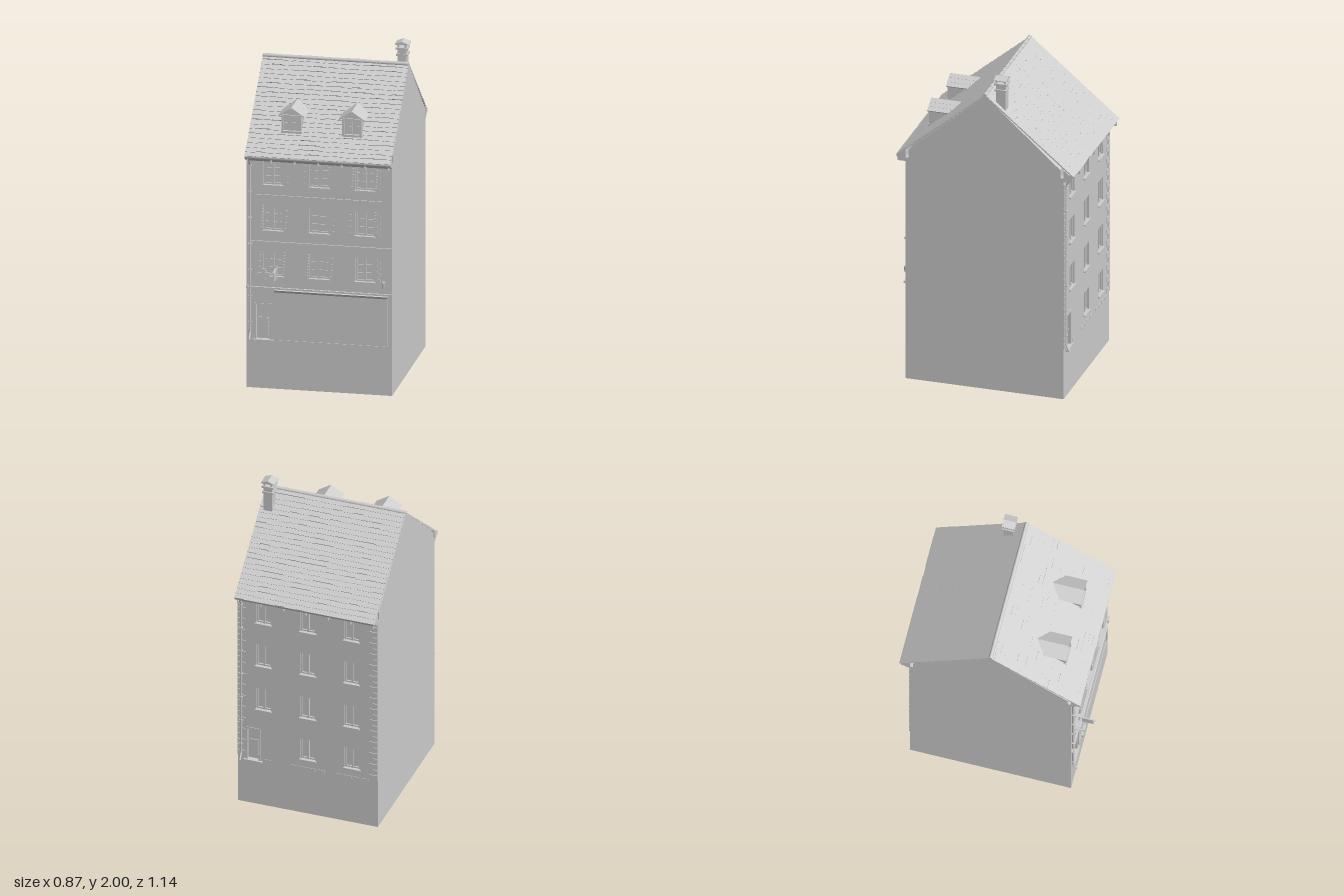
import * as THREE from 'three';
import { mergeGeometries } from 'three/addons/utils/BufferGeometryUtils.js';

const stone = new THREE.MeshStandardMaterial({ color: 0xcccccc });
stone.name = 'stoneGrey';

const W = 0.435, FRONT = 0.468, BACK = -0.503, RECESS = 0.02;
const RIDGE = { y: 1.885, z: -0.022 };

// Deterministic jitter in 0..1
const jitter = (i, j) => { const s = Math.sin(i * 12.99 + j * 78.23) * 4375.85; return s - Math.floor(s); };

const part = (name, geo, parent) => {
  const m = new THREE.Mesh(geo, stone);
  m.name = name;
  parent.add(m);
  return m;
};

// Box given by its x, y and z ranges
const box = (x0, x1, y0, y1, z0, z1) =>
  new THREE.BoxGeometry(x1 - x0, y1 - y0, z1 - z0).translate((x0 + x1) / 2, (y0 + y1) / 2, (z0 + z1) / 2);

// Polygon in (z, y) extruded along x
function slab(points, x0, x1) {
  const s = new THREE.Shape(points.map(([z, y]) => new THREE.Vector2(-z, y)));
  return new THREE.ExtrudeGeometry(s, { depth: x1 - x0, bevelEnabled: false }).rotateY(Math.PI / 2).translate(x0, 0, 0);
}

// Wall plate with openings [x0, x1, y0, y1]; outer face at local z = 0
function wall(openings, parent) {
  const s = new THREE.Shape([[-W, 0], [W, 0], [W, 1.42], [-W, 1.42]].map(p => new THREE.Vector2(...p)));
  for (const [x0, x1, y0, y1] of openings)
    s.holes.push(new THREE.Path([[x0, y0], [x0, y1], [x1, y1], [x1, y0]].map(p => new THREE.Vector2(...p))));
  part('wall', new THREE.ExtrudeGeometry(s, { depth: RECESS, bevelEnabled: false }).translate(0, 0, -RECESS), parent);
}

// Frame with a mullion and optional glazing bars, set inside an opening
function windowFrame([x0, x1, y0, y1], bars, parent) {
  const t = 0.009, z0 = -RECESS, z1 = -0.011, c = (x0 + x1) / 2;
  const g = [box(x0, x0 + t, y0, y1, z0, z1), box(x1 - t, x1, y0, y1, z0, z1),
    box(x0, x1, y0, y0 + t, z0, z1), box(x0, x1, y1 - t, y1, z0, z1), box(c - t / 2, c + t / 2, y0, y1, z0, z1 + 0.003)];
  for (let i = 1; i <= bars; i++) {
    const y = y0 + (y1 - y0) * i / (bars + 1);
    g.push(box(x0, x1, y - 0.002, y + 0.002, z0, z1 - 0.003));
  }
  part('windowFrame', mergeGeometries(g), parent);
  part('windowSill', box(x0 - 0.006, x1 + 0.006, y0 - 0.009, y0, -RECESS, 0.01), parent);
}

// Stones of alternating length beside a window
function surround([x0, x1, y0, y1], parent) {
  const g = [], n = 8, h = (y1 - y0) / n;
  for (let i = 0; i < n; i++) {
    const l = i % 2 ? 0.016 : 0.034;
    for (const [a, b] of [[x0 - l, x0], [x1, x1 + l]]) g.push(box(a, b, y0 + i * h + 0.002, y0 + (i + 1) * h, -0.002, 0.002));
  }
  part('windowSurround', mergeGeometries(g), parent);
}

function door([x0, x1, y0, y1], parent) {
  const g = [box(x0, x0 + 0.01, y0, y1, -RECESS, 0.004), box(x1 - 0.01, x1, y0, y1, -RECESS, 0.004),
    box(x0, x1, y1 - 0.01, y1, -RECESS, 0.004)];
  part('doorFrame', mergeGeometries(g), parent);
  part('doorPanel', box(x0 + 0.02, x1 - 0.02, y0 + 0.02, y0 + 0.13, -RECESS, -0.015), parent);
  part('doorStep', box(x0 - 0.012, x1 + 0.012, y0 - 0.012, y0, -RECESS, 0.014), parent);
  part('doorKnob', new THREE.SphereGeometry(0.005, 10, 8).translate(x1 - 0.018, y0 + 0.095, -0.012), parent);
}

// Rain pipe with brackets and an angled foot
function downpipe(x, parent) {
  const path = new THREE.CurvePath();
  const p = [[1.41, 0.035], [1.37, 0.008], [0.34, 0.008], [0.3, 0.03]].map(([y, z]) => new THREE.Vector3(x, y, z));
  for (let i = 0; i < 3; i++) path.add(new THREE.LineCurve3(p[i], p[i + 1]));
  part('downpipe', new THREE.TubeGeometry(path, 60, 0.0065, 8), parent);
  const g = [];
  for (let y = 0.4; y < 1.38; y += 0.16) g.push(box(x - 0.01, x + 0.01, y, y + 0.007, 0, 0.017));
  part('pipeBrackets', mergeGeometries(g), parent);
}

// Corner stones of alternating length
function quoins(side, parent, y0) {
  const g = [];
  for (let i = 0, y = y0; y < 1.38; i++, y += 0.038) {
    const l = i % 2 ? 0.03 : 0.052, a = side * W, b = side * (W - l);
    g.push(box(Math.min(a, b), Math.max(a, b), y, y + 0.034, -0.002, 0.005));
  }
  part('quoins', mergeGeometries(g), parent);
}

// Moulded eave and half-round gutter
function eaves(parent) {
  part('eaveMoulding', slab([[0, 1.395], [0.012, 1.395], [0.034, 1.415], [0.042, 1.437], [0, 1.47]], -W, W), parent);
  const gutter = new THREE.CylinderGeometry(0.017, 0.017, 2 * W, 12, 1, false, 0, Math.PI).rotateZ(Math.PI / 2);
  const m = part('gutter', gutter.rotateX(Math.PI / 2).translate(0, 1.428, 0.038), parent);
  m.scale.set(1, 1, 1);
  const g = [];
  for (let x = -0.42; x < 0.43; x += 0.14) g.push(box(x - 0.003, x + 0.003, 1.39, 1.43, 0.01, 0.052));
  part('gutterBrackets', mergeGeometries(g), parent);
}

// Overlapping tile courses from the ridge down to the eave
function tiledSlope(name, zEave, parent) {
  const s = Math.sign(zEave), run = Math.abs(zEave - RIDGE.z), drop = RIDGE.y - 1.432;
  const len = Math.hypot(run, drop), angle = Math.atan2(drop, run), rows = 22, cols = 14, g = [];
  for (let r = 0; r < rows; r++) for (let c = 0; c < cols; c++) {
    const a = len * r / rows, b = Math.min(len, len * (r + 1) / rows + (jitter(r, c + (s > 0 ? 0 : 50)) - 0.5) * 0.008);
    const w = 2 * W / cols;
    g.push(box(-W + c * w, -W + (c + 1) * w, -0.006, 0.002, a, b + 0.001).translate(0, 0, -a)
      .rotateX(-0.09).translate(0, 0, a));
  }
  const geo = mergeGeometries(g).rotateX(angle);
  if (s < 0) geo.rotateY(Math.PI);
  part(name, geo.translate(0, RIDGE.y, RIDGE.z), parent);
}

function dormer(x) {
  const d = new THREE.Group();
  d.name = 'dormer';
  part('dormerWalls', slab([[0.375, 1.54], [0.375, 1.655], [0.24, 1.655]], -0.058, 0.058), d);
  const gable = new THREE.Shape([[-0.058, 1.65], [0.058, 1.65], [0, 1.695]].map(p => new THREE.Vector2(...p)));
  part('dormerGable', new THREE.ExtrudeGeometry(gable, { depth: 0.17, bevelEnabled: false }).translate(0, 0, 0.21), d);
  const f = [box(-0.058, -0.046, 1.55, 1.655, 0.37, 0.388), box(0.046, 0.058, 1.55, 1.655, 0.37, 0.388),
    box(-0.058, 0.058, 1.647, 1.657, 0.37, 0.388), box(-0.062, 0.062, 1.547, 1.56, 0.37, 0.392),
    box(-0.004, 0.004, 1.56, 1.65, 0.37, 0.382), box(-0.046, 0.046, 1.605, 1.609, 0.37, 0.379)];
  part('dormerWindow', mergeGeometries(f), d);
  // Three lapped courses on each roof half
  const roof = [], pitch = Math.atan2(0.047, 0.078);
  for (const s of [-1, 1]) for (let i = 0; i < 3; i++) {
    const a = i * 0.0303, b = a + 0.0303;
    roof.push(box(Math.min(s * a, s * b), Math.max(s * a, s * b), -0.006, 0.003 - i * 0.001, 0.2 + i * 0.018, 0.392)
      .rotateZ(-s * pitch).translate(0, 1.699, 0));
  }
  part('dormerRoof', mergeGeometries(roof), d);
  d.position.x = x;
  return d;
}

function chimney() {
  const c = new THREE.Group();
  c.name = 'chimney';
  part('chimneyShaft', box(-0.026, 0.026, 1.76, 1.95, -0.03, 0.03), c);
  part('chimneyCollar', box(-0.034, 0.034, 1.912, 1.924, -0.036, 0.036), c);
  part('chimneyCrown', box(-0.036, 0.036, 1.95, 1.962, -0.038, 0.038), c);
  for (const x of [-0.022, 0.022]) for (const z of [-0.026, 0.026])
    part('chimneyPost', box(x - 0.005, x + 0.005, 1.96, 1.985, z - 0.005, z + 0.005), c);
  const cap = new THREE.Shape([[-0.041, 1.98], [0.041, 1.98], [0.041, 1.985], [0, 2], [-0.041, 1.985]].map(p => new THREE.Vector2(...p)));
  part('chimneyCap', new THREE.ExtrudeGeometry(cap, { depth: 0.076, bevelEnabled: false }).translate(0, 0, -0.038), c);
  c.position.set(0.381, 0, -0.108);
  return c;
}

export function createModel() {
  const house = new THREE.Group();
  house.name = 'townHouse';
  const f = FRONT - RECESS, b = BACK + RECESS;
  part('core', slab([[f, 0], [f, 1.47], [RIDGE.z, RIDGE.y - 0.004], [b, 1.47], [b, 0]], -W, W), house);

  const front = new THREE.Group(), back = new THREE.Group();
  front.name = 'frontFacade';
  back.name = 'backFacade';
  front.position.z = FRONT;
  back.position.z = BACK;
  back.rotation.y = Math.PI;
  house.add(front, back);

  // Front: nine windows, door and shop bay
  const cols = [-0.275, 0, 0.272];
  const fw = [0.69, 0.97, 1.25].flatMap(y => cols.map(x => [x - 0.058, x + 0.058, y, y + 0.148]));
  const fd = [-0.385, -0.285, 0.3, 0.52], shop = [-0.258, 0.395, 0.3, 0.6];
  wall([...fw, fd], front);
  fw.forEach(o => { windowFrame(o, 2, front); surround(o, front); });
  door(fd, front);
  part('shopFrame', mergeGeometries([box(shop[0] - 0.008, shop[0], 0.3, 0.6, -0.002, 0.005),
    box(shop[1], shop[1] + 0.012, 0.3, 0.6, -0.002, 0.008), box(shop[0], shop[1], 0.295, 0.3, -0.002, 0.004)]), front);
  part('shopCornice', slab([[0, 0.592], [0.006, 0.592], [0.016, 0.607], [0, 0.612]], shop[0] - 0.01, 0.41), front);
  part('lowerBand', box(-W, W, 0.612, 0.622, -0.002, 0.012), front);
  part('middleBand', box(-0.41, W, 0.895, 0.903, -0.002, 0.008), front);
  part('upperBand', box(-0.38, 0.375, 1.174, 1.188, -0.002, 0.007), front);
  downpipe(-0.412, front);

  // Hanging cross sign and wall lamp
  part('signBracket', mergeGeometries([box(-0.259, -0.251, 0.737, 0.743, 0, 0.102), box(-0.259, -0.249, 0.67, 0.75, 0, 0.008)]), front);
  part('signBoard', box(-0.257, -0.251, 0.68, 0.732, 0.02, 0.09), front);
  part('crossSign', mergeGeometries([box(-0.333, -0.309, 0.68, 0.747, 0.045, 0.055), box(-0.358, -0.285, 0.701, 0.725, 0.045, 0.055)]), front);
  part('crossBracket', box(-0.325, -0.317, 0.71, 0.717, -0.02, 0.046), front);
  part('wallLamp', new THREE.CylinderGeometry(0.01, 0.006, 0.035, 6).translate(0.385, 0.678, 0.016), front);
  part('lampArm', box(0.382, 0.388, 0.695, 0.701, 0, 0.018), front);

  // Back: upper windows, two ground windows and a door
  const bw = [0.655, 0.955, 1.25].flatMap(y => cols.map(x => [x - 0.047, x + 0.047, y, y + 0.148]));
  for (const x of [0, 0.275]) bw.push([x - 0.047, x + 0.047, 0.37, 0.51]);
  const bd = [-0.385, -0.295, 0.3, 0.52];
  wall([...bw, bd], back);
  bw.forEach(o => windowFrame(o, 0, back));
  door(bd, back);
  for (const s of [-1, 1]) quoins(s, back, 0.32);
  downpipe(-0.412, back);
  const stones = [];
  for (let i = 0; i < 12; i++) {
    const x = -0.27 + i * 0.055;
    if (jitter(i, 3) > 0.3) stones.push(box(x, x + 0.045, 0.3, 0.318, -0.002, 0.003));
  }
  part('plinthStones', mergeGeometries(stones), back);

  // Roof, ridge, dormers and chimney
  eaves(front);
  eaves(back);
  tiledSlope('frontRoof', 0.52, house);
  tiledSlope('backRoof', -0.564, house);
  for (let i = 0; i < 15; i++) {
    const w = 2 * W / 15;
    part('ridgeTile', new THREE.CylinderGeometry(0.011, 0.013, w, 10).rotateZ(Math.PI / 2)
      .translate(-W + (i + 0.5) * w, RIDGE.y - 0.001, RIDGE.z + 0.004), house);
  }
  house.add(dormer(-0.182), dormer(0.178), chimney());
  return house;
}
